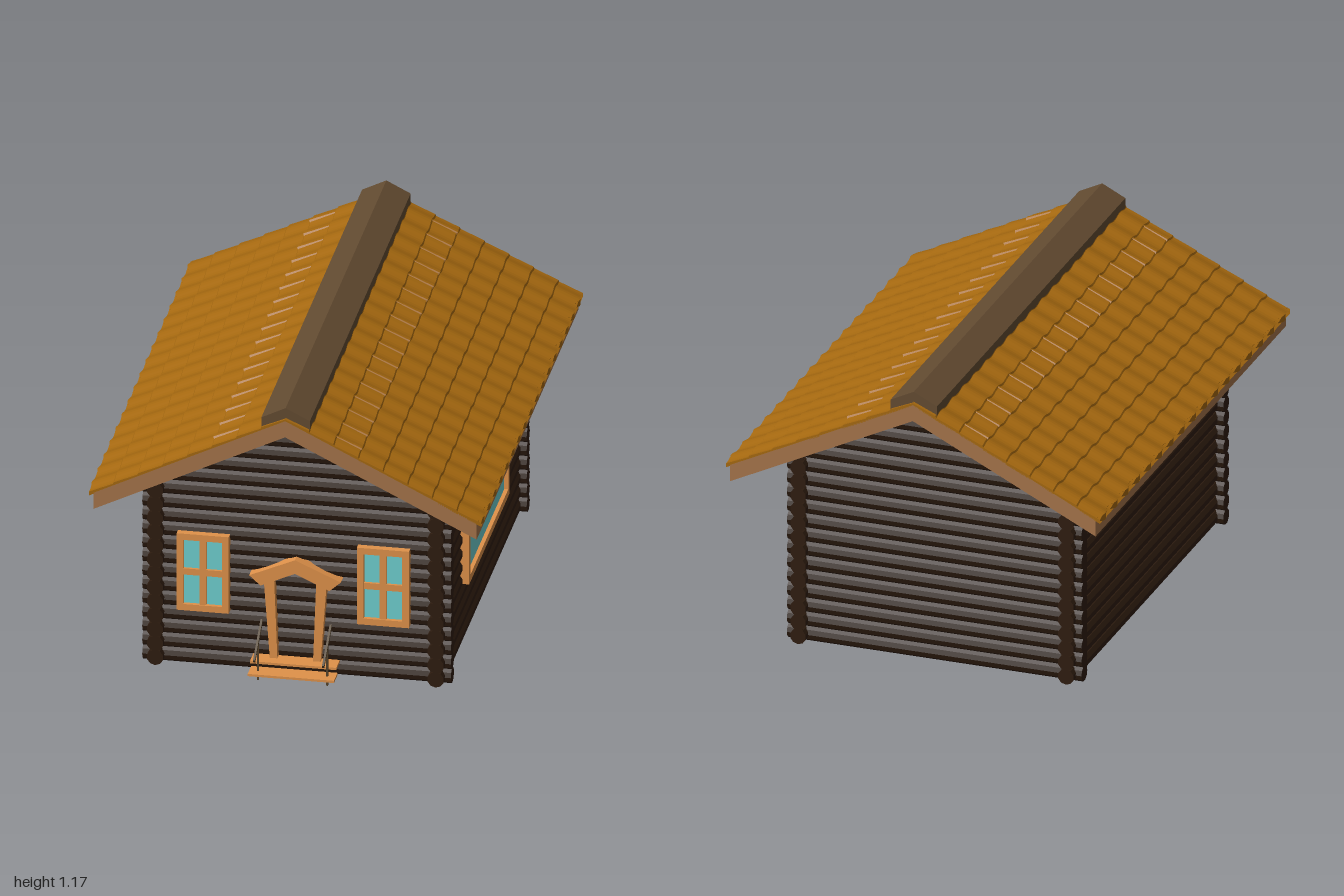
import * as THREE from 'three';

const mat = (color, flat = true) => new THREE.MeshStandardMaterial({ color, flatShading: flat });
const LOG = mat(0x2e1c0f), WOOD = mat(0xe0924a), SLAB = mat(0xa5744a), TILE = mat(0xa5680f);
const RIDGE = mat(0x634b31), GLASS = mat(0x6fcfcf), RAIL = mat(0x54422a);

function add(parent, name, geo, material, x = 0, y = 0, z = 0) {
  const m = new THREE.Mesh(geo, material);
  m.name = name;
  m.position.set(x, y, z);
  parent.add(m);
  return m;
}
const box = (w, h, d) => new THREE.BoxGeometry(w, h, d);

// Extruded profile, symmetric about x = 0, from its right half (top to bottom)
function mirroredProfile(half, z0, z1) {
  const left = half.filter(p => p[0] > 0).map(([x, y]) => [-x, y]);
  const top = half[0], bottom = half[half.length - 1];
  const pts = [top, ...half.slice(1, -1), bottom, ...left.reverse()];
  const geo = new THREE.ExtrudeGeometry(
    new THREE.Shape(pts.map(p => new THREE.Vector2(...p))),
    { depth: z1 - z0, bevelEnabled: false });
  return geo.translate(0, 0, z0);
}

// Framed window facing +z, with optional cross bars
function makeWindow(name, w, h, t, bars) {
  const g = new THREE.Group();
  g.name = name;
  const d = 0.04;
  for (const s of [-1, 1]) {
    add(g, 'frameSide', box(t, h, d), WOOD, s * (w - t) / 2, 0, -d / 2);
    add(g, 'frameRail', box(w - 2 * t, t, d), WOOD, 0, s * (h - t) / 2, -d / 2);
  }
  add(g, 'pane', box(w - 2 * t, h - 2 * t, 0.02), GLASS, 0, 0, -0.025);
  if (bars) {
    add(g, 'mullion', box(t, h - 2 * t, 0.03), WOOD, 0, 0, -0.02);
    add(g, 'crossBar', box(w - 2 * t, t, 0.03), WOOD, 0, 0, -0.02);
  }
  return g;
}

const SLOPE = 0.493, UNDER = 1.055, TOP = 1.12;

// Corrugated tiles on one slope: waves along z, small overlapping steps down the slope
function tileGeometry() {
  const rows = 8, waves = 17, width = 0.73;
  const geo = new THREE.BoxGeometry(1, 1, 2, rows * 2, 1, waves * 8);
  const p = geo.attributes.position;
  for (let i = 0; i < p.count; i++) {
    const k = Math.round((p.getX(i) + 0.5) * rows * 2), z = p.getZ(i);
    const s = width * (Math.floor(k / 2) + (k % 2 ? 0.96 : 0)) / rows;
    const wave = 0.5 + 0.5 * Math.cos((z - 0.01) * Math.PI * waves);
    const lift = p.getY(i) > 0 ? 0.006 + 0.01 * wave + (k % 2 || k === rows * 2 ? 0.005 : 0) : -0.004;
    const x = s - (k === rows * 2 ? 0.016 * (1 - wave) : 0);
    p.setXYZ(i, x, TOP - SLOPE * x + lift, z);
  }
  geo.computeVertexNormals();
  return geo;
}

export function createModel() {
  const house = new THREE.Group();
  house.name = 'logCabin';

  // Log walls with crossing corners, continued up into the gables
  const walls = new THREE.Group();
  walls.name = 'logWalls';
  house.add(walls);
  const pitch = 0.056, r = 0.031;
  const log = len => new THREE.CylinderGeometry(r, r, len, 10);
  for (let i = 0; i < 18; i++) {
    const y = 0.031 + i * pitch;
    const half = i < 14 ? 0.572 : (UNDER - y + 0.005) / SLOPE;
    for (const s of [-1, 1]) {
      add(walls, i < 14 ? 'endWallLog' : 'gableLog', log(2 * half), LOG, 0, y, s * 0.745).rotation.z = Math.PI / 2;
      if (i < 14) add(walls, 'sideWallLog', log(1.6), LOG, s * 0.52, y, 0).rotation.x = Math.PI / 2;
    }
  }
  add(walls, 'core', mirroredProfile([[0, 1.06], [0.52, 0.8], [0.52, 0.008], [0, 0.008]], -0.745, 0.745), LOG);

  // Roof slab, tiles and ridge cap
  const roof = new THREE.Group();
  roof.name = 'roof';
  house.add(roof);
  const eave = 0.71;
  add(roof, 'roofSlab', mirroredProfile(
    [[0, TOP], [eave, TOP - SLOPE * eave], [eave, UNDER - SLOPE * eave], [0, UNDER]], -1, 1), SLAB);
  const tiles = tileGeometry();
  const wedge = new THREE.ConeGeometry(0.015, 0.19, 6);
  for (const s of [0, 1]) {
    const side = new THREE.Group();
    side.name = s ? 'rightSlope' : 'leftSlope';
    side.rotation.y = s * Math.PI;
    roof.add(side);
    add(side, 'tiles', tiles, TILE);
    // Raised tapered tile ends below the ridge
    for (let i = 0; i < 17; i++) {
      const m = add(side, 'tileEnd', wedge, TILE, 0.185, TOP - SLOPE * 0.185 + 0.012, -0.94 + i * 0.1176);
      m.rotation.z = Math.PI / 2 - Math.atan(SLOPE);
    }
  }
  add(roof, 'ridgeCap', mirroredProfile(
    [[0, 1.168], [0.09, 1.123], [0.09, 1.085], [0, 1.125]], -0.99, 0.99), RIDGE);

  // Windows
  for (const [name, x] of [['rightFrontWindow', -0.343], ['leftFrontWindow', 0.325]]) {
    const w = makeWindow(name, 0.193, 0.308, 0.025, true);
    w.position.set(x, 0.385, 0.802);
    house.add(w);
  }
  const wide = makeWindow('sideWindow', 0.795, 0.308, 0.028, false);
  wide.rotation.y = Math.PI / 2;
  wide.position.set(0.574, 0.4, 0.027);
  house.add(wide);

  // Door surround: chevron hood on two leaning posts
  const door = new THREE.Group();
  door.name = 'doorway';
  house.add(door);
  add(door, 'doorHood', mirroredProfile([[0, 0.47], [0.17, 0.395], [0.128, 0.357], [0, 0.415]], 0.76, 0.806), WOOD);
  for (const s of [-1, 1]) {
    const post = new THREE.Shape([[0.066, 0.065], [0.094, 0.065], [0.116, 0.372], [0.078, 0.388]]
      .map(([x, y]) => new THREE.Vector2(s * x, y)));
    add(door, 'doorPost', new THREE.ExtrudeGeometry(post, { depth: 0.04, bevelEnabled: false }), WOOD, 0, 0, 0.762);
  }

  // Steps with slim handrails
  add(door, 'lowerStep', box(0.32, 0.009, 0.07), WOOD, 0, 0.032, 0.853);
  add(door, 'upperStep', box(0.32, 0.009, 0.07), WOOD, 0, 0.063, 0.808);
  for (const s of [-1, 1]) {
    add(door, 'railPost', box(0.007, 0.155, 0.009), RAIL, s * 0.128, 0.0775, 0.853);
    const rail = add(door, 'handrail', box(0.008, 0.012, 0.18), RAIL, s * 0.128, 0.158, 0.855);
    rail.rotation.x = Math.atan2(0.09, 0.14);
  }
  return house;
}
